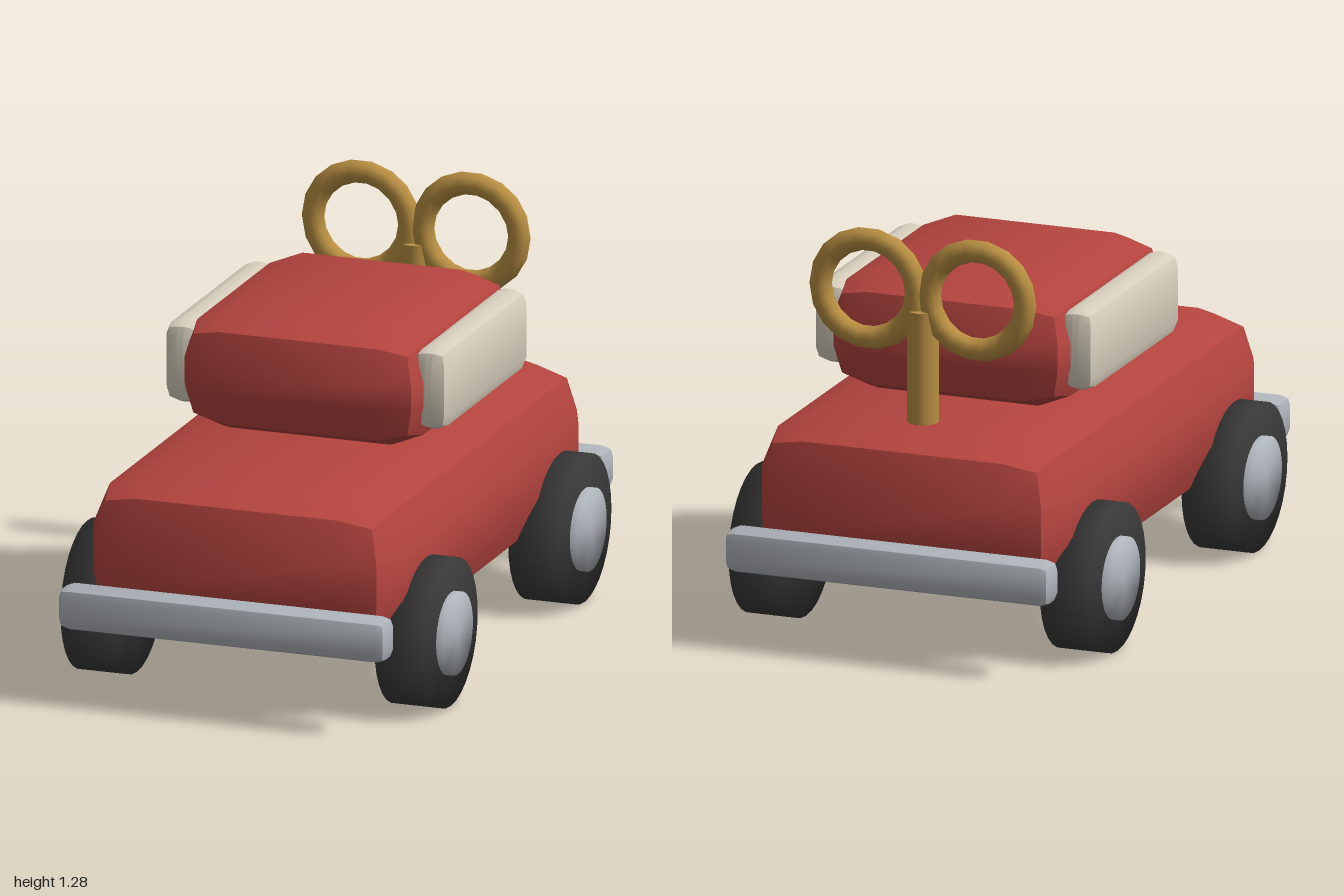
import * as THREE from 'three';
import { toCreasedNormals, mergeVertices } from 'three/addons/utils/BufferGeometryUtils.js';

const material = (name, color) => {
  const m = new THREE.MeshStandardMaterial({ color });
  m.name = name;
  return m;
};

// Box whose edges are rounded in two 45 degree steps
function bevelledBox(w, h, d, r) {
  const geo = new THREE.BoxGeometry(2, 2, 2, 3, 3, 3);
  const pos = geo.attributes.position;
  const core = new THREE.Vector3(w / 2 - r, h / 2 - r, d / 2 - r);
  const v = new THREE.Vector3();
  const dir = new THREE.Vector3();
  const step = (t) => (Math.abs(t) > 0.9 ? Math.sign(t) : 0);
  for (let i = 0; i < pos.count; i++) {
    v.fromBufferAttribute(pos, i);
    dir.set(step(v.x), step(v.y), step(v.z)).normalize().multiplyScalar(r);
    pos.setXYZ(
      i,
      Math.sign(v.x) * core.x + dir.x,
      Math.sign(v.y) * core.y + dir.y,
      Math.sign(v.z) * core.z + dir.z
    );
  }
  return toCreasedNormals(geo, 0.62);
}

// Cylinder along x with normals blended over the rims
function softDisc(radius, width, sides) {
  const geo = new THREE.CylinderGeometry(radius, radius, width, sides);
  geo.rotateZ(Math.PI / 2);
  geo.deleteAttribute('normal');
  geo.deleteAttribute('uv');
  const merged = mergeVertices(geo);
  merged.computeVertexNormals();
  return merged;
}

export function createModel() {
  const model = new THREE.Group();
  model.name = 'windUpCar';
  const red = material('red paint', 0xb5443f);
  const cream = material('cream window', 0xd9d0be);
  const silver = material('silver trim', 0xafb4bb);
  const black = material('black rubber', 0x383838);
  const brass = material('brass key', 0xb98f42);

  const add = (name, geo, mat, x, y, z) => {
    const mesh = new THREE.Mesh(geo, mat);
    mesh.name = name;
    mesh.position.set(x, y, z);
    model.add(mesh);
    return mesh;
  };

  // Body and cabin
  add('body', bevelledBox(1.01, 0.5, 1.83, 0.18), red, 0, 0.44, 0);
  add('cabin', bevelledBox(0.815, 0.375, 0.92, 0.15), red, 0, 0.873, -0.09);

  // Bumpers
  const bumper = bevelledBox(1.06, 0.135, 0.11, 0.035);
  add('frontBumper', bumper, silver, 0, 0.305, 0.945);
  add('rearBumper', bumper, silver, 0, 0.305, -0.945);

  const windowGeo = bevelledBox(0.12, 0.26, 0.735, 0.05);
  const tyre = softDisc(0.23, 0.16, 32);
  const hub = softDisc(0.128, 0.12, 32);
  const ring = new THREE.TorusGeometry(0.155, 0.036, 8, 18);

  for (const [side, s] of [['left', 1], ['right', -1]]) {
    // Side windows
    add(side + 'Window', windowGeo, cream, s * 0.4, 0.885, -0.09);

    // Wheels
    for (const [end, z] of [['Front', 0.575], ['Rear', -0.575]]) {
      add(side + end + 'Tyre', tyre, black, s * 0.505, 0.23, z);
      add(side + end + 'Hub', hub, silver, s * 0.548, 0.23, z);
    }

    // Key loops
    add(side + 'KeyRing', ring, brass, s * 0.177, 1.088, -0.69);
  }

  // Key stem
  add('keyStem', new THREE.CylinderGeometry(0.049, 0.049, 0.4, 12), brass, 0, 0.84, -0.69);

  return model;
}
